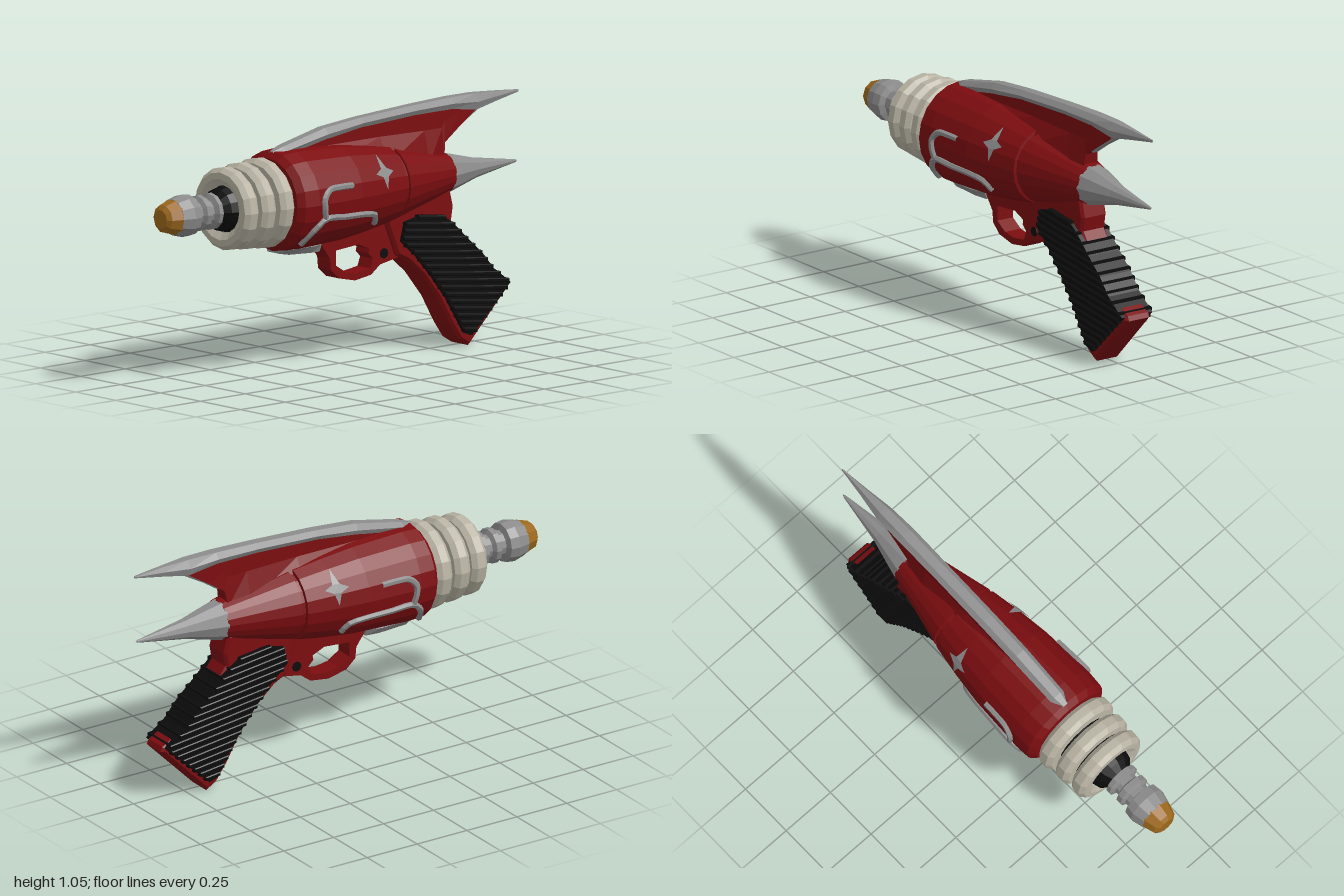
import * as THREE from 'three';

const AXIS_Y = 0.735;
const mat = (name, color, side = THREE.FrontSide) => {
  const m = new THREE.MeshStandardMaterial({ color, side });
  m.name = name;
  return m;
};

// Flat-shaded copy of a geometry
function faceted(geo) {
  const g = geo.index ? geo.toNonIndexed() : geo;
  g.computeVertexNormals();
  return g;
}

// Turned part along x from [x, radius] points
function turned(profile, sides) {
  const g = new THREE.LatheGeometry(profile.map(([x, r]) => new THREE.Vector2(r, x)), sides);
  g.rotateZ(-Math.PI / 2).translate(0, AXIS_Y, 0);
  return faceted(g);
}

// Skin over cross-sections; each station is { x, ring: [[y, z], ...] }
function loft(stations) {
  const n = stations[0].ring.length, pos = [], idx = [];
  for (const s of stations) for (const [y, z] of s.ring) pos.push(s.x, y, z);
  for (let i = 0; i < stations.length - 1; i++) {
    for (let k = 0; k < n; k++) {
      const a = i * n + k, b = i * n + (k + 1) % n;
      idx.push(a, b, a + n, b, b + n, a + n);
    }
  }
  const last = (stations.length - 1) * n;
  for (let k = 1; k < n - 1; k++) {
    idx.push(0, k + 1, k);
    idx.push(last, last + k, last + k + 1);
  }
  const g = new THREE.BufferGeometry();
  g.setAttribute('position', new THREE.Float32BufferAttribute(pos, 3));
  g.setIndex(idx);
  return faceted(g);
}

const shapeOf = pts => new THREE.Shape(pts.map(p => new THREE.Vector2(...p)));

// Plate in the xy plane, centred on z = 0
function plate(shape, half, bevel = 0) {
  const g = new THREE.ExtrudeGeometry(shape, {
    depth: 2 * (half - bevel), bevelEnabled: bevel > 0, bevelSize: bevel,
    bevelThickness: bevel, bevelOffset: -bevel, bevelSegments: 1, curveSegments: 6,
  });
  return faceted(g.translate(0, 0, -(half - bevel)));
}

const BODY = [[-0.4, 0], [-0.4, 0.185], [-0.375, 0.212], [-0.3, 0.217], [-0.05, 0.206], [0.1, 0.188],
  [0.235, 0.166], [0.237, 0.153], [0.253, 0.152], [0.255, 0.161], [0.42, 0.122], [0.58, 0.085], [0.58, 0]];

// Height of the body's side surface at (x, y)
function bodyZ(x, y) {
  let r = 0.2;
  for (let i = 2; i < BODY.length - 2; i++) {
    const [x0, r0] = BODY[i], [x1, r1] = BODY[i + 1];
    if (x >= x0 && x <= x1) r = r0 + (r1 - r0) * (x - x0) / (x1 - x0);
  }
  return Math.sqrt(Math.max(0, r * r - (y - AXIS_Y) ** 2));
}

export function createModel() {
  const root = new THREE.Group();
  root.name = 'rayPistol';
  const red = mat('red paint', 0x7c0d10);
  const silver = mat('silver metal', 0x8c8c8c);
  const emblem = mat('silver emblem', 0x8c8c8c, THREE.DoubleSide);
  const cream = mat('cream rings', 0xb8b3a3);
  const black = mat('black rubber', 0x0c0c0c);
  const gold = mat('amber tip', 0x9c681c);
  const add = (name, geo, material) => {
    const m = new THREE.Mesh(geo, material);
    m.name = name;
    root.add(m);
    return m;
  };

  // Main body and tail cone
  add('body', turned(BODY, 20), red);
  add('tailCone', turned([[0.575, 0], [0.575, 0.088], [0.62, 0.077], [0.75, 0.043], [0.98, 0.006], [0.99, 0]], 10), silver);

  // Barrel: dark core, cooling rings, nozzle and tip
  add('barrelCore', turned([[-0.71, 0], [-0.71, 0.06], [-0.68, 0.09], [-0.6, 0.11], [-0.39, 0.115]], 14), black);
  [[-0.63, 0.175], [-0.54, 0.183], [-0.445, 0.191]].forEach(([x, r], i) => {
    add('coolingRing' + (i + 1), turned([[x - 0.02, 0.1], [x - 0.04, 0.13], [x - 0.038, r - 0.018], [x - 0.018, r],
      [x + 0.018, r], [x + 0.038, r - 0.018], [x + 0.04, 0.13], [x + 0.02, 0.1]], 16), cream);
  });
  add('nozzle', turned([[-0.935, 0], [-0.935, 0.076], [-0.88, 0.09], [-0.84, 0.085], [-0.832, 0.058], [-0.81, 0.058],
    [-0.8, 0.076], [-0.775, 0.076], [-0.765, 0.055], [-0.745, 0.055], [-0.735, 0.078], [-0.715, 0.078],
    [-0.705, 0.05], [-0.66, 0.05]], 12), silver);
  add('nozzleTip', turned([[-1, 0], [-1, 0.04], [-0.985, 0.06], [-0.93, 0.077]], 10), gold);

  // Dorsal fin, flared where it meets the body: [x, bottom, top, halfBottom, halfTop]
  const fin = [[-0.38, 0.9, 0.935, 0.03, 0.022], [-0.1, 0.87, 0.985, 0.085, 0.03], [0.2, 0.83, 1.01, 0.085, 0.028],
    [0.45, 0.8, 1.02, 0.06, 0.026], [0.55, 0.8, 1.02, 0.038, 0.025], [0.562, 0.87, 1.02, 0.03, 0.025],
    [0.64, 0.922, 1.02, 0.026, 0.025], [0.75, 0.99, 1.02, 0.02, 0.02]];
  add('fin', loft(fin.map(([x, b, t, hb, ht]) => {
    const m = b + (t - b) * 0.6;
    return { x, ring: [[t, -ht], [t, ht], [m, ht], [b, hb], [b, -hb], [m, -ht]] };
  })), red);

  // Silver spine and rear fin edge: [x, bottom, top, halfWidth]
  const bar = list => loft(list.map(([x, b, t, h]) => {
    const m = (b + t) / 2;
    return { x, ring: [[t, -h * 0.5], [t, h * 0.5], [m, h], [b, h * 0.7], [b, -h * 0.7], [m, -h]] };
  }));
  add('finSpine', bar([[-0.38, 0.92, 0.945, 0.02], [-0.33, 0.925, 0.962, 0.036], [-0.1, 0.962, 1.012, 0.04],
    [0.1, 0.99, 1.03, 0.04], [0.4, 1.005, 1.046, 0.04], [0.6, 1.005, 1.053, 0.042], [0.74, 0.985, 1.053, 0.038],
    [0.86, 1.005, 1.046, 0.02], [0.995, 1.026, 1.036, 0.003]]), silver);
  add('finRearEdge', bar([[0.585, 0.878, 0.895, 0.018], [0.66, 0.928, 0.95, 0.02], [0.76, 0.985, 1.01, 0.022]]), silver);

  // Trigger guard with finger hole
  const guard = shapeOf([[-0.16, 0.58], [-0.13, 0.515], [-0.09, 0.46], [-0.085, 0.41], [-0.04, 0.37], [0.05, 0.35],
    [0.14, 0.363], [0.19, 0.4], [0.3, 0.42], [0.42, 0.42], [0.5, 0.62], [0.2, 0.62]]);
  guard.holes.push(new THREE.Path([[-0.055, 0.49], [0.07, 0.5], [0.13, 0.475], [0.125, 0.455], [0.15, 0.43],
    [0.135, 0.39], [0.06, 0.38], [0, 0.39], [-0.055, 0.425]].map(p => new THREE.Vector2(...p))));
  add('triggerGuard', plate(guard, 0.04), red);
  add('triggerPin', faceted(new THREE.CylinderGeometry(0.022, 0.022, 0.088, 8).rotateX(Math.PI / 2).translate(0.21, 0.445, 0)), black);

  // Grip frame with butt plate
  add('gripFrame', plate(shapeOf([[0.2, 0.6], [0.27, 0.43], [0.33, 0.4], [0.41, 0.33], [0.5, 0.22], [0.57, 0.1],
    [0.62, 0.03], [0.67, 0], [0.9, 0.23], [0.89, 0.25], [0.78, 0.31], [0.72, 0.38], [0.64, 0.45], [0.575, 0.54],
    [0.585, 0.6], [0.565, 0.68], [0.3, 0.68]]), 0.063, 0.012), red);

  // Ribbed rubber grip
  const grip = [[0.28, 0.49], [0.3, 0.57], [0.4, 0.59], [0.52, 0.565], [0.57, 0.53], [0.65, 0.455], [0.73, 0.385],
    [0.79, 0.315], [0.885, 0.245], [0.67, 0.045], [0.63, 0.06], [0.53, 0.22], [0.45, 0.32], [0.36, 0.42]];
  add('grip', plate(shapeOf(grip), 0.078), black);
  const SLOPE = -0.12;
  const span = c => {
    const xs = [];
    grip.forEach(([x0, y0], i) => {
      const [x1, y1] = grip[(i + 1) % grip.length];
      const d0 = y0 - SLOPE * x0 - c, d1 = y1 - SLOPE * x1 - c;
      if (d0 * d1 < 0) xs.push(x0 + (x1 - x0) * d0 / (d0 - d1));
    });
    return [Math.min(...xs), Math.max(...xs)];
  };
  for (let i = 0; i < 17; i++) {
    const c = 0.15 + i * 0.0298, [a, b] = span(c);
    const at = (x, dy) => [x, c + SLOPE * x + dy];
    add('gripRib', plate(shapeOf([at(a, -0.009), at(b, -0.009), at(b, 0.009), at(a, 0.009)]), 0.088, 0.004), black);
  }

  // Plate under the front of the body
  add('underPlate', bar([[-0.37, 0.515, 0.56, 0.05], [-0.33, 0.508, 0.56, 0.075], [-0.2, 0.5, 0.56, 0.07],
    [-0.14, 0.495, 0.56, 0.045]]), silver);

  // Side trim and star emblem, on both sides
  const trims = [
    [[-0.11, 0.795], [-0.18, 0.797], [-0.24, 0.793], [-0.275, 0.76], [-0.275, 0.72], [-0.265, 0.675]],
    [[-0.34, 0.565], [-0.31, 0.63], [-0.265, 0.672], [-0.15, 0.668], [-0.02, 0.662], [0.04, 0.648], [0.06, 0.608]],
  ];
  const star = [];
  for (let i = 0; i < 8; i++) {
    const a = i * Math.PI / 4, r = i % 2 ? 0.024 : (i % 4 ? 0.07 : 0.055);
    star.push([0.097 + r * Math.cos(a), 0.82 + r * Math.sin(a)]);
  }
  for (const s of [1, -1]) {
    const side = s > 0 ? 'Front' : 'Back';
    for (const t of trims) {
      const curve = new THREE.CatmullRomCurve3(t.map(([x, y]) => new THREE.Vector3(x, y, s * (bodyZ(x, y) + 0.002))));
      add('sideTrim' + side, faceted(new THREE.TubeGeometry(curve, 18, 0.014, 6)), silver);
    }
    const g = new THREE.ShapeGeometry(shapeOf(star));
    const p = g.attributes.position;
    for (let i = 0; i < p.count; i++) p.setZ(i, s * (bodyZ(p.getX(i), p.getY(i)) + 0.008));
    add('star' + side, faceted(g), emblem);
  }
  return root;
}
